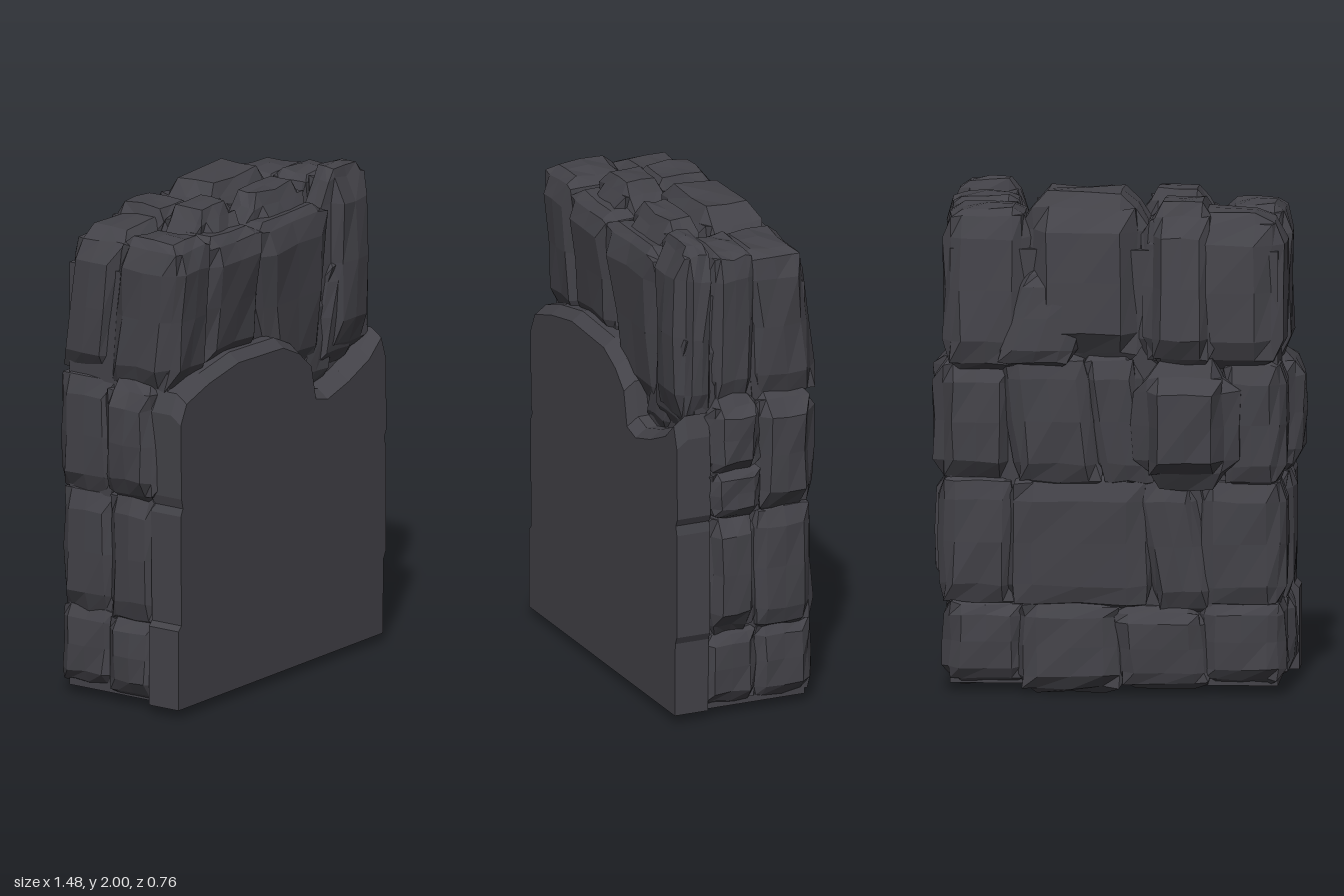
import * as THREE from 'three';

const rock = new THREE.MeshStandardMaterial({ color: 0x434248, flatShading: true });
rock.name = 'darkRock';

// repeatable noise in 0..1
function noise(x, y, z, seed) {
  const s = Math.sin(x * 12.99 + y * 78.23 + z * 37.72 + seed * 17.31) * 43758.5453;
  return s - Math.floor(s);
}

// sides inside the wall grow into their neighbours, so that joints become tight grooves
const INNER_LOW = [-0.6, 0.1, -0.2], INNER_HIGH = [0.6, 1.7, 0.3];

// Pillow-shaped, roughly chipped block between two corners.
// round: how far edges are pulled in; chip: surface roughness;
// lean: x shift from bottom to top; taper: narrowing of the bottom; slope: z shift from bottom to top
function stone([x0, x1, y0, y1, z0, z1], seed, o = {}) {
  const { round = 0.03, chip = 0.016, lean = 0, taper = 0, slope = 0 } = o;
  const geo = new THREE.BoxGeometry(2, 2, 2, 4, 4, 4);
  const p = geo.attributes.position;
  const grow = Math.min(0.045, round + 0.005);
  const lo = [x0, y0, z0].map((t, a) => (t > INNER_LOW[a] ? t - grow : t));
  const hi = [x1, y1, z1].map((t, a) => (t < INNER_HIGH[a] ? t + grow : t));
  for (let i = 0; i < p.count; i++) {
    const u = [p.getX(i), p.getY(i), p.getZ(i)].map(t => Math.sign(t) * Math.sqrt(Math.abs(t)));
    const v = u.map((t, a) => {
      const edge = Math.max(Math.abs(u[(a + 1) % 3]), Math.abs(u[(a + 2) % 3])) ** 6;
      const half = (hi[a] - lo[a]) / 2;
      const inset = Math.min(round, half * 0.5) * edge + chip * noise(u[0] + a, u[1], u[2], seed);
      return (lo[a] + hi[a]) / 2 + t * (half - inset);
    });
    const down = (1 - u[1]) / 2, mid = (x0 + x1) / 2;
    v[0] = mid + (v[0] - mid) * (1 - taper * down) + lean * u[1] / 2;
    v[1] = THREE.MathUtils.clamp(v[1], 0, 2);
    v[2] += slope * u[1] / 2;
    p.setXYZ(i, ...v);
  }
  const flat = geo.toNonIndexed();
  flat.computeVertexNormals();
  return new THREE.Mesh(flat, rock);
}

function course(name, list) {
  const g = new THREE.Group();
  g.name = name;
  list.forEach(([box, opts], i) => {
    const m = stone(box, i + name.length * 3, opts);
    m.name = name + 'Stone' + (i + 1);
    g.add(m);
  });
  return g;
}

// Smooth front face with an eroded upper edge
function frontSlab() {
  const outline = [
    [-0.705, 0.035], [-0.705, 0.36], [-0.685, 0.38], [-0.69, 0.83], [-0.675, 0.86], [-0.685, 0.9], [-0.69, 1.24],
    [-0.65, 1.32], [-0.5, 1.37], [-0.3, 1.41], [0.0, 1.4], [0.11, 1.35], [0.19, 1.28], [0.22, 1.14],
    [0.3, 1.12], [0.44, 1.16], [0.58, 1.22], [0.66, 1.29], [0.69, 1.2], [0.695, 0.87], [0.68, 0.84],
    [0.69, 0.8], [0.69, 0.37], [0.675, 0.34], [0.67, 0.035],
  ].reverse();
  const depth = 0.145;
  const geo = new THREE.ExtrudeGeometry(new THREE.Shape(outline.map(q => new THREE.Vector2(...q))),
    { depth, steps: 3, bevelEnabled: false });
  const p = geo.attributes.position;
  for (let i = 0; i < p.count; i++) {
    if (p.getZ(i) > depth - 0.01 && p.getY(i) > 1.05) p.setY(i, p.getY(i) - 0.035);
  }
  geo.translate(0, 0, 0.375 - depth);
  geo.computeVertexNormals();
  const m = new THREE.Mesh(geo, rock);
  m.name = 'frontSlab';
  return m;
}

export function createModel() {
  const wall = new THREE.Group();
  wall.name = 'stoneWall';

  // solid filling behind the joints
  const core = new THREE.Mesh(new THREE.BoxGeometry(1.3, 1.74, 0.48), rock);
  core.name = 'core';
  core.position.set(0, 0.905, 0.04);
  wall.add(core, frontSlab());

  // bottom course: back stones, then the two ends
  wall.add(course('bottomCourse', [
    [[-0.69, -0.36, 0.025, 0.37, -0.26, 0.02]],
    [[-0.36, -0.02, 0.01, 0.33, -0.285, 0.0], { lean: 0.03 }],
    [[-0.02, 0.36, -0.012, 0.36, -0.28, 0.0]],
    [[0.36, 0.69, 0.02, 0.36, -0.255, 0.02]],
    [[-0.71, -0.45, 0.025, 0.36, 0.02, 0.24]],
    [[0.45, 0.7, 0.025, 0.35, 0.02, 0.24]],
  ]));

  // second course
  wall.add(course('lowerMiddleCourse', [
    [[-0.69, -0.35, 0.36, 0.85, -0.255, 0.02]],
    [[-0.35, -0.13, 0.34, 0.85, -0.26, 0.0], { lean: 0.1 }],
    [[-0.13, 0.4, 0.36, 0.85, -0.275, 0.0]],
    [[0.4, 0.71, 0.36, 0.85, -0.25, 0.02]],
    [[-0.71, -0.45, 0.36, 0.87, 0.02, 0.24]],
    [[0.45, 0.74, 0.36, 0.86, 0.02, 0.24], { round: 0.06 }],
  ]));

  // third course, with one boulder bulging from the back
  wall.add(course('upperMiddleCourse', [
    [[-0.69, -0.44, 0.85, 1.32, -0.265, 0.02]],
    [[-0.48, -0.1, 0.85, 1.32, -0.385, 0.0], { round: 0.08 }],
    [[-0.12, 0.08, 0.85, 1.34, -0.27, 0.0], { lean: 0.08 }],
    [[0.08, 0.4, 0.85, 1.34, -0.28, 0.0], { lean: 0.06 }],
    [[0.4, 0.735, 0.85, 1.32, -0.26, 0.02], { round: 0.05 }],
    [[-0.75, -0.45, 0.88, 1.31, 0.02, 0.24], { round: 0.045 }],
    [[0.45, 0.74, 0.86, 1.04, 0.02, 0.23]],
    [[0.45, 0.745, 1.04, 1.32, 0.02, 0.22], { round: 0.045 }],
  ]));

  // top course, back half
  wall.add(course('topBackCourse', [
    [[-0.69, -0.12, 1.33, 1.94, -0.265, 0.03], { round: 0.05, slope: 0.06 }],
    [[-0.4, -0.14, 1.33, 1.98, -0.3, 0.03], { round: 0.06, slope: 0.1 }],
    [[-0.12, 0.36, 1.33, 2.012, -0.27, 0.09], { round: 0.07, slope: 0.06 }],
    [[0.36, 0.69, 1.32, 1.94, -0.25, 0.03], { slope: 0.06 }],
    [[0.12, 0.4, 1.33, 1.72, -0.285, 0.0], { lean: -0.12, slope: 0.05 }],
  ]));

  // top course, front half, undercut above the slab
  const cut = { round: 0.035, slope: 0.05 };
  wall.add(course('topFrontCourse', [
    [[-0.695, -0.42, 1.32, 1.93, 0.03, 0.345], cut],
    [[-0.42, -0.07, 1.36, 1.9, 0.03, 0.345], cut],
    [[-0.37, -0.1, 1.4, 2.0, 0.03, 0.25], { round: 0.06 }],
    [[-0.07, 0.4, 1.2, 1.89, 0.09, 0.345], { ...cut, taper: 0.3, lean: -0.06 }],
    [[-0.03, 0.34, 1.4, 1.98, 0.08, 0.26], { round: 0.06 }],
    [[0.4, 0.69, 1.26, 2.0, 0.2, 0.365], { round: 0.045 }],
    [[0.4, 0.695, 1.32, 1.96, 0.03, 0.2]],
    [[0.25, 0.48, 1.12, 1.5, 0.1, 0.31], { lean: 0.12 }],
    [[0.36, 0.64, 1.18, 1.6, 0.1, 0.335], { lean: 0.08, slope: 0.04 }],
  ]));

  const model = new THREE.Group();
  model.name = 'stoneWallBlock';
  model.add(wall);
  return model;
}
